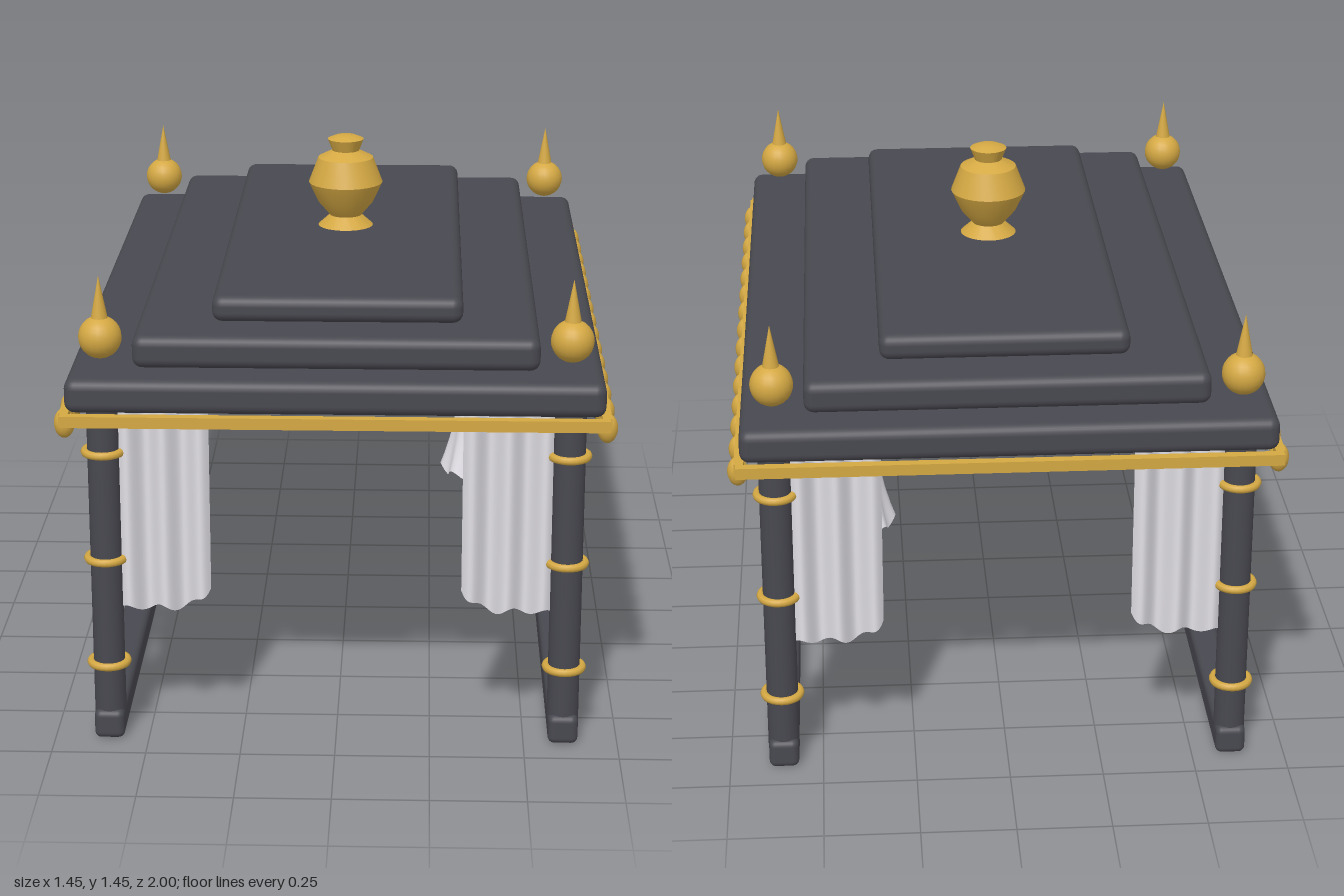
import * as THREE from 'three';
import { toCreasedNormals } from 'three/addons/utils/BufferGeometryUtils.js';
import { RoundedBoxGeometry } from 'three/addons/geometries/RoundedBoxGeometry.js';

const mat = (name, color, side = THREE.FrontSide) => {
  const m = new THREE.MeshStandardMaterial({ color, side });
  m.name = name;
  return m;
};

// Cloth sheet whose points follow rule(u, v): u along the rail, v from top to hem
function sheet(nu, nv, rule) {
  const g = new THREE.PlaneGeometry(1, 1, nu, nv);
  const p = g.attributes.position;
  for (let i = 0; i < p.count; i++) p.setXYZ(i, ...rule(p.getX(i) + 0.5, 0.5 - p.getY(i)));
  g.computeVertexNormals();
  return g;
}

const lathe = (pts, seg) => new THREE.LatheGeometry(pts.map(([r, y]) => new THREE.Vector2(r, y)), seg);

export function createModel() {
  const model = new THREE.Group();
  model.name = 'canopy';
  const dark = mat('charcoal', 0x484850);
  const gold = mat('gold', 0xd4a843);
  const cloth = mat('pale cloth', 0xe2e0e6, THREE.DoubleSide);

  const add = (name, geometry, material, x = 0, y = 0, z = 0) => {
    const mesh = new THREE.Mesh(geometry, material);
    mesh.name = name;
    mesh.position.set(x, y, z);
    model.add(mesh);
    return mesh;
  };

  // Stepped roof: width, depth, bottom, top
  for (const [w, d, y0, y1] of [[1.38, 1.97, 0.938, 1.028], [1.05, 1.77, 1.028, 1.115], [0.655, 1.51, 1.115, 1.185]])
    add('roofTier', new RoundedBoxGeometry(w, y1 - y0, d, 3, 0.027), dark, 0, (y0 + y1) / 2, 0);

  // Gold trim and hanging beads
  const bead = new THREE.SphereGeometry(0.027, 14, 10).scale(1, 1.45, 1);
  for (const s of [-1, 1]) {
    add('endTrim', new THREE.BoxGeometry(1.4, 0.03, 0.025), gold, 0, 0.923, s * 0.9875);
    add('sideTrim', new THREE.BoxGeometry(0.025, 0.03, 1.95), gold, s * 0.6925, 0.923, 0);
    for (let i = 0; i < 15; i++)
      add('bead', bead, gold, s * 0.697, 0.895, -0.922 + i * 0.1317);
    add('baseRail', new RoundedBoxGeometry(0.08, 0.08, 1.84, 3, 0.018), dark, s * 0.605, 0.04, 0);
  }

  // Posts with rings and spiked finials
  const post = new THREE.CylinderGeometry(0.042, 0.042, 0.9, 20);
  const ring = new THREE.TorusGeometry(0.048, 0.011, 8, 24).rotateX(Math.PI / 2);
  const ball = new THREE.SphereGeometry(0.056, 20, 14);
  const spike = new THREE.ConeGeometry(0.024, 0.125, 16);
  for (const x of [-0.605, 0.605])
    for (const z of [-0.87, 0.87]) {
      add('post', post, dark, x, 0.49, z);
      for (const y of [0.208, 0.505, 0.802]) add('postRing', ring, gold, x, y, z);
      add('finialBall', ball, gold, x, 1.112, z);
      add('finialSpike', spike, gold, x, 1.213, z);
    }

  // Urn on top
  const urn = lathe([[0, 1.184], [0.078, 1.186], [0.045, 1.216], [0.078, 1.255], [0.105, 1.312],
    [0.078, 1.383], [0.038, 1.403], [0.051, 1.436], [0.03, 1.445], [0, 1.448]], 28);
  add('urn', toCreasedNormals(urn, 0.45), gold);

  // Long side curtains with a swagged hem
  for (const s of [-1, 1])
    add('sideCurtain', sheet(80, 6, (u, v) => {
      const z = (u - 0.5) * 1.68;
      const hem = 0.495 - 0.08 * Math.cos(z * 1.85) + 0.012 * Math.cos(z * 24);
      const fold = (0.008 + 0.012 * v) * Math.sin(z * 31);
      return [s * (0.605 + fold), THREE.MathUtils.lerp(0.935, hem, v), z];
    }), cloth);

  // Gathered corner curtains at both ends
  for (const sx of [-1, 1])
    for (const sz of [-1, 1])
      add('cornerCurtain', sheet(40, 6, (u, v) => {
        const x = 0.33 + u * 0.26;
        const hem = 0.362 + 0.07 * Math.exp(-u * 10) + 0.013 * Math.cos((x - 0.37) * 70);
        return [sx * x, THREE.MathUtils.lerp(0.935, hem, v), sz * (0.87 + 0.022 * Math.sin((x - 0.33) * 66))];
      }), cloth);

  // Small draped cloth hanging inside: domed top, flared rippled skirt
  const drape = lathe([[0.105, 0.38], [0.094, 0.42], [0.08, 0.48], [0.068, 0.55], [0.068, 0.59],
    [0.078, 0.64], [0.078, 0.68], [0.062, 0.715], [0.034, 0.735], [0, 0.74]], 48);
  const p = drape.attributes.position;
  for (let i = 0; i < p.count; i++) {
    const x = p.getX(i), y = p.getY(i), z = p.getZ(i);
    const w = Math.max(0, (0.6 - y) / 0.22);
    const wave = Math.cos(Math.atan2(z, x) * 8);
    const k = 1 + 0.07 * w * wave;
    p.setXYZ(i, x * k, y + 0.012 * w * w * wave, z * k);
  }
  drape.computeVertexNormals();
  add('hangingCloth', drape, cloth, 0.393, 0, -0.198);

  return model;
}
